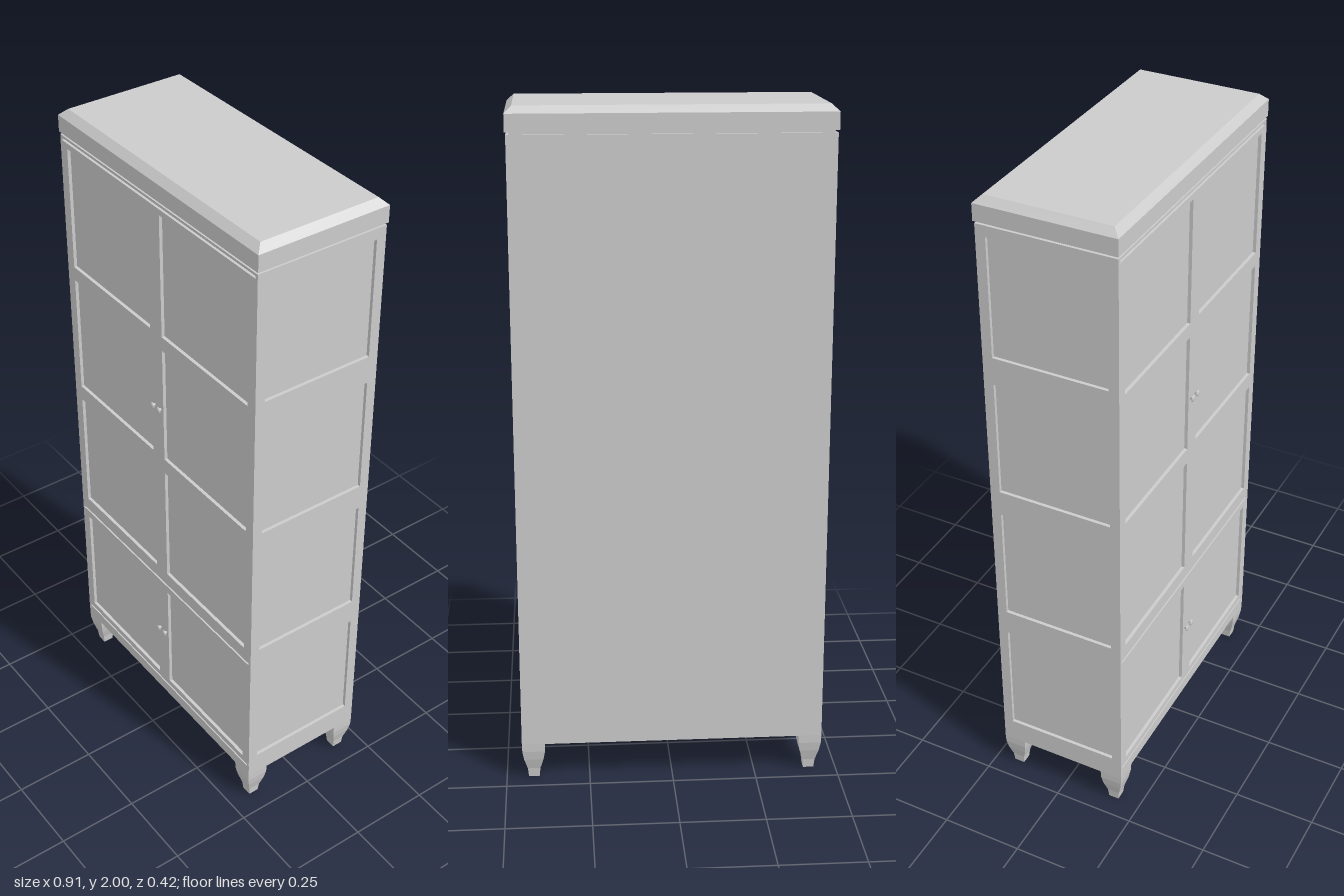
import * as THREE from 'three';

const grey = new THREE.MeshStandardMaterial({ color: 0xcccccc, flatShading: true });
const smooth = new THREE.MeshStandardMaterial({ color: 0xcccccc, side: THREE.DoubleSide });

const W = 0.453, FRONT = 0.198, BACK = -0.21, RECESS = 0.01;
const BOTTOM = 0.115, TOP = 1.923;

function add(parent, name, geometry, x = 0, y = 0, z = 0, material = grey) {
  const mesh = new THREE.Mesh(geometry, material);
  mesh.name = name;
  mesh.position.set(x, y, z);
  parent.add(mesh);
  return mesh;
}

// Box given by its limits
function block(parent, name, x0, x1, y0, y1, z0, z1) {
  return add(parent, name, new THREE.BoxGeometry(x1 - x0, y1 - y0, z1 - z0),
    (x0 + x1) / 2, (y0 + y1) / 2, (z0 + z1) / 2);
}

// Flat frame with rectangular openings, each [x0, x1, y0, y1]
function frame(x0, x1, y0, y1, openings) {
  const rect = (path, a, b, c, d) =>
    path.moveTo(a, c).lineTo(b, c).lineTo(b, d).lineTo(a, d).closePath();
  const shape = rect(new THREE.Shape(), x0, x1, y0, y1);
  for (const o of openings) shape.holes.push(rect(new THREE.Path(), ...o));
  return new THREE.ExtrudeGeometry(shape, { depth: RECESS, bevelEnabled: false });
}

export function createModel() {
  const model = new THREE.Group();
  model.name = 'wardrobe';

  // Carcass, whose faces show as the sunken panels and grooves
  block(model, 'carcass', -W + RECESS, W - RECESS, BOTTOM, TOP, BACK, FRONT - RECESS);
  block(model, 'corniceNeck', -W + 0.008, W - 0.008, TOP, 1.932, BACK + 0.008, FRONT - 0.008);

  // Panelled sides
  const zMid = (FRONT + BACK) / 2, half = (FRONT - BACK) / 2;
  const sideRows = [[0.19, 0.56], [0.64, 1.005], [1.085, 1.445], [1.53, 1.89]];
  const sideGeometry = frame(-half, half, BOTTOM, TOP,
    sideRows.map(([a, b]) => [-half + 0.03, half - 0.03, a, b]));
  for (const s of [1, -1]) {
    const side = add(model, s > 0 ? 'leftSide' : 'rightSide', sideGeometry, s * (W - RECESS), 0, zMid);
    side.rotation.y = s * Math.PI / 2;
  }

  // Doors: upper pair with three panels each, lower pair with one
  const inner = W - RECESS;
  const doorSets = [
    ['upperDoor', 0.595, 1.908, [[0.64, 1.035], [1.085, 1.465], [1.51, 1.89]]],
    ['lowerDoor', 0.16, 0.587, [[0.18, 0.563]]],
  ];
  for (const [name, y0, y1, rows] of doorSets) {
    for (const s of [1, -1]) {
      const order = (a, b) => (s > 0 ? [a, b] : [-b, -a]);
      const geometry = frame(...order(0, W), y0, y1, rows.map((r) => [...order(0.028, 0.42), ...r]));
      add(model, name + (s > 0 ? 'Left' : 'Right'), geometry, 0, 0, FRONT - RECESS + 0.0005);
    }
  }
  block(model, 'baseRail', -inner, inner, BOTTOM, 0.152, FRONT - RECESS, FRONT);
  block(model, 'topRail', -inner, inner, 1.915, TOP, FRONT - RECESS, FRONT);

  // Cornice with a chamfered top
  const cornice = new THREE.BoxGeometry(0.912, 0.07, 0.413, 1, 2, 1);
  const p = cornice.attributes.position;
  for (let i = 0; i < p.count; i++) {
    const y = p.getY(i);
    if (Math.abs(y) < 0.001) p.setY(i, 0.015);
    if (y > 0.03) {
      p.setX(i, p.getX(i) - Math.sign(p.getX(i)) * 0.021);
      p.setZ(i, p.getZ(i) - Math.sign(p.getZ(i)) * 0.021);
    }
  }
  add(model, 'cornice', cornice, 0, 1.965, -0.0065);

  // Square tapered legs, profile as [half width, height]
  const legProfile = [[0, 0], [0.016, 0], [0.019, 0.028], [0.022, 0.038], [0.029, 0.062],
    [0.034, 0.09], [0.035, BOTTOM], [0, BOTTOM]]
    .map(([h, y]) => new THREE.Vector2(h * Math.SQRT2, y));
  const legGeometry = new THREE.LatheGeometry(legProfile, 4).rotateY(Math.PI / 4);
  for (const x of [-0.418, 0.418])
    for (const z of [FRONT - 0.035, BACK + 0.035])
      add(model, z > 0 ? 'frontLeg' : 'backLeg', legGeometry, x, 0, z);

  // Oval knobs
  const knobProfile = [[0.004, 0], [0.004, 0.005], [0.008, 0.007], [0.009, 0.009], [0.007, 0.012], [0, 0.013]]
    .map(([r, y]) => new THREE.Vector2(r, y));
  const knobGeometry = new THREE.LatheGeometry(knobProfile, 20).rotateX(Math.PI / 2).scale(1, 1.25, 1);
  for (const x of [-0.015, 0.015])
    for (const y of [0.385, 1.257])
      add(model, 'knob', knobGeometry, x, y, FRONT, smooth);

  return model;
}
